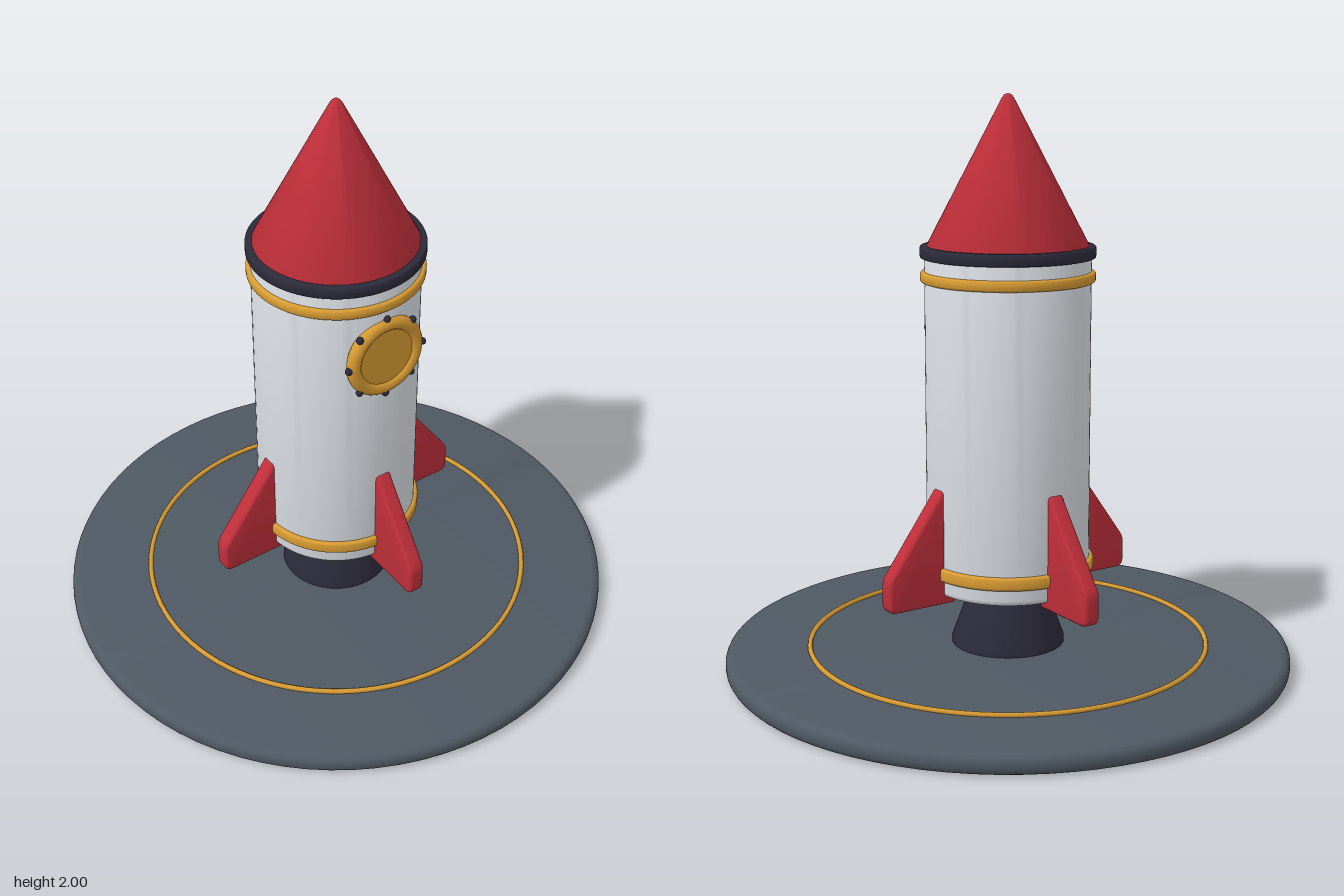
import * as THREE from 'three';
import { toCreasedNormals } from 'three/addons/utils/BufferGeometryUtils.js';

const mat = (name, color) => {
  const m = new THREE.MeshStandardMaterial({ color });
  m.name = name;
  return m;
};

export function createModel() {
  const group = new THREE.Group();
  const red = mat('red', 0xc02f3a);
  const white = mat('hull white', 0xd8dce1);
  const dark = mat('dark navy', 0x2c2b3b);
  const gold = mat('gold', 0xd69a32);
  const slate = mat('slate', 0x4f5963);

  const add = (name, geometry, material, parent = group) => {
    const mesh = new THREE.Mesh(geometry, material);
    mesh.name = name;
    parent.add(mesh);
    return mesh;
  };
  // Turned part from [radius, y] pairs, listed from the bottom up
  const turned = (name, points, material) => add(name, toCreasedNormals(
    new THREE.LatheGeometry(points.map(([r, y]) => new THREE.Vector2(r, y)), 80), 0.6), material);
  // Solid disc with a rounded rim
  const disc = (name, radius, y0, y1, round, material) => {
    const pts = [[0, y0]];
    for (const [cy, start] of [[y0 + round, -Math.PI / 2], [y1 - round, 0]]) {
      for (let i = 0; i <= 5; i++) {
        const a = start + (i / 5) * Math.PI / 2;
        pts.push([radius - round + round * Math.cos(a), cy + round * Math.sin(a)]);
      }
    }
    pts.push([0, y1]);
    return turned(name, pts, material);
  };

  // Launch pad with its painted ring
  disc('launchPad', 1, 0.005, 0.075, 0.03, slate);
  const ring = add('padRing', new THREE.TorusGeometry(0.705, 0.009, 8, 96), gold);
  ring.rotation.x = Math.PI / 2;
  ring.position.y = 0.08;

  // Engine nozzle, hull, bands and collar
  turned('nozzle', [[0, 0.075], [0.2, 0.075], [0.2, 0.09], [0.125, 0.295], [0, 0.295]], dark);
  disc('hull', 0.287, 0.29, 1.47, 0.02, white);
  disc('lowerBand', 0.302, 0.348, 0.395, 0.012, gold);
  disc('upperBand', 0.302, 1.365, 1.403, 0.012, gold);
  disc('collar', 0.302, 1.448, 1.49, 0.008, dark);

  // Nose cone with a rounded tip
  turned('noseCone', [[0, 1.48], [0.28, 1.48], [0.28, 1.488], [0.022, 1.983],
    [0.016, 1.992], [0.009, 1.998], [0, 2]], red);

  // Four fins with softened edges
  const bevel = 0.012;
  const s = new THREE.Shape();
  s.moveTo(0.25, 0.277);
  s.lineTo(0.473, 0.277);
  s.quadraticCurveTo(0.488, 0.277, 0.488, 0.292);
  s.lineTo(0.488, 0.355);
  s.quadraticCurveTo(0.488, 0.374, 0.478, 0.388);
  s.lineTo(0.288, 0.648);
  s.quadraticCurveTo(0.278, 0.662, 0.265, 0.662);
  s.lineTo(0.25, 0.662);
  s.closePath();
  const finGeometry = toCreasedNormals(new THREE.ExtrudeGeometry(s, {
    depth: 0.06 - 2 * bevel, bevelSize: bevel, bevelThickness: bevel, bevelSegments: 3, curveSegments: 5,
  }).translate(0, 0, bevel - 0.03), 0.6);
  ['leftFin', 'backFin', 'rightFin', 'frontFin'].forEach((name, i) => {
    add(name, finGeometry, red).rotation.y = i * Math.PI / 2;
  });

  // Porthole: rim, pane and eight rivets
  const porthole = new THREE.Group();
  porthole.name = 'porthole';
  porthole.position.set(0, 1.18, 0.28);
  group.add(porthole);
  add('portholeRim', new THREE.TorusGeometry(0.125, 0.025, 14, 56), gold, porthole);
  const pane = add('portholePane', new THREE.CylinderGeometry(0.12, 0.12, 0.02, 48), gold, porthole);
  pane.rotation.x = Math.PI / 2;
  pane.position.z = 0.003;
  const rivet = new THREE.SphereGeometry(0.013, 10, 8);
  for (let i = 0; i < 8; i++) {
    const a = i * Math.PI / 4;
    add('rivet', rivet, dark, porthole).position.set(0.15 * Math.cos(a), 0.15 * Math.sin(a), 0.008);
  }
  return group;
}
